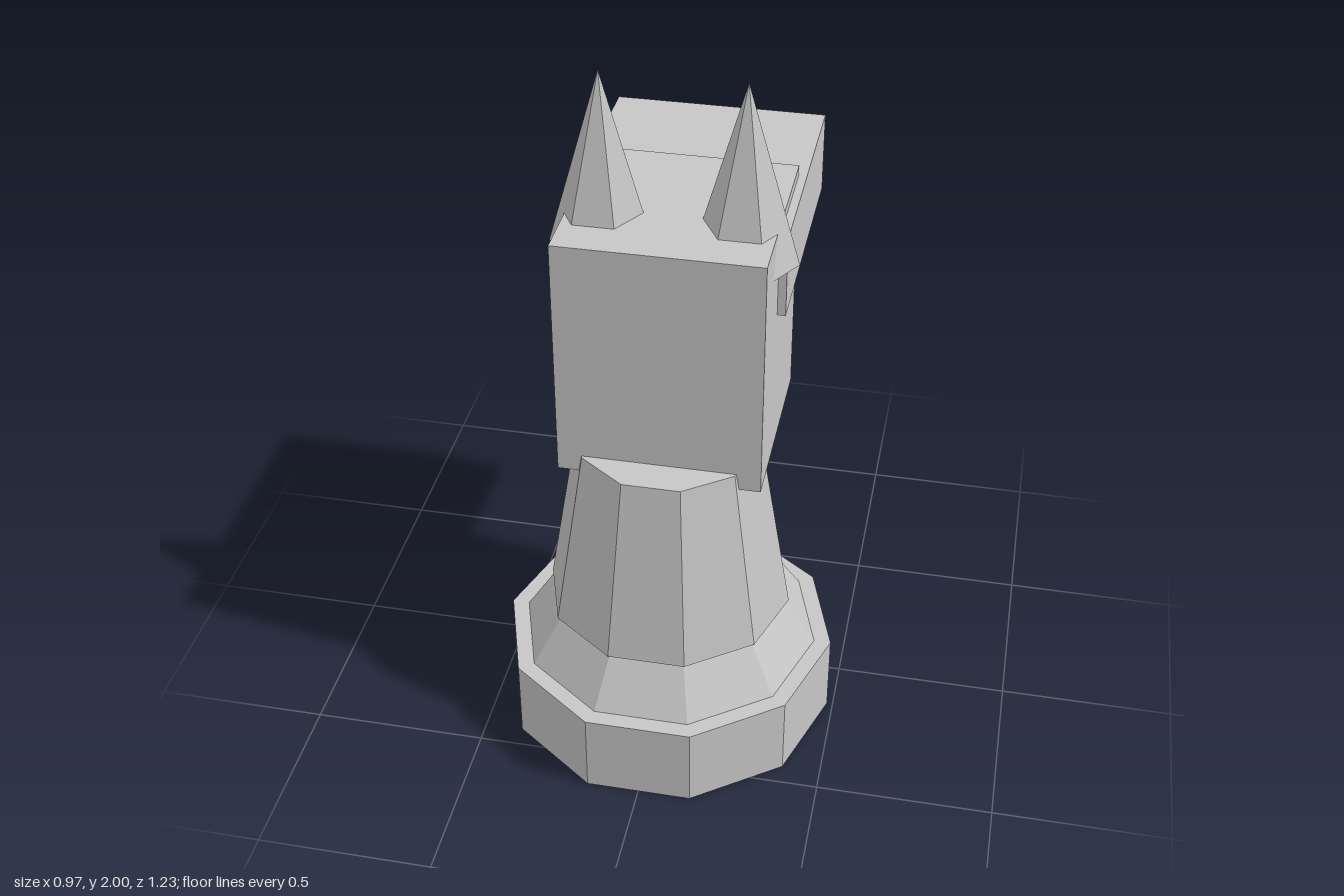
import * as THREE from 'three';

export function createModel() {
  const model = new THREE.Group();
  model.name = 'chessPiece';

  const grey = new THREE.MeshStandardMaterial({ color: 0xc6c6c6 });
  grey.name = 'grey';

  const add = (name, geometry, x, y, z) => {
    const mesh = new THREE.Mesh(geometry, grey);
    mesh.name = name;
    mesh.position.set(x, y, z);
    model.add(mesh);
    return mesh;
  };

  // Faceted tapered column between two heights, with a corner on the x axis
  const column = (name, sides, rTop, rBottom, y0, y1, x, z) => {
    const g = new THREE.CylinderGeometry(rTop, rBottom, y1 - y0, sides);
    g.rotateY(Math.PI / 2);
    const flat = g.toNonIndexed();
    flat.computeVertexNormals();
    return add(name, flat, x, (y0 + y1) / 2, z);
  };

  // Box from its limits
  const box = (name, w, y0, y1, z0, z1) =>
    add(name, new THREE.BoxGeometry(w, y1 - y0, z1 - z0), 0, (y0 + y1) / 2, (z0 + z1) / 2);

  // Ten-sided pedestal and neck
  const baseZ = 0.155;
  column('base', 10, 0.483, 0.483, 0, 0.245, 0, baseZ);
  column('skirt', 10, 0.342, 0.434, 0.245, 0.39, 0, baseZ);
  column('neck', 10, 0.263, 0.354, 0.39, 0.94, 0, baseZ);

  // Head and snout, the snout pointing backwards
  box('head', 0.566, 0.89, 1.6, -0.246, 0.302);
  box('snout', 0.612, 1.33, 1.57, -0.617, 0.095);

  // Six-sided pointed ears, sunk into the head
  for (const [name, side] of [['leftEar', 1], ['rightEar', -1]]) {
    column(name, 6, 0, 0.145, 1.49, 2, side * 0.193, 0.09);
  }

  return model;
}
